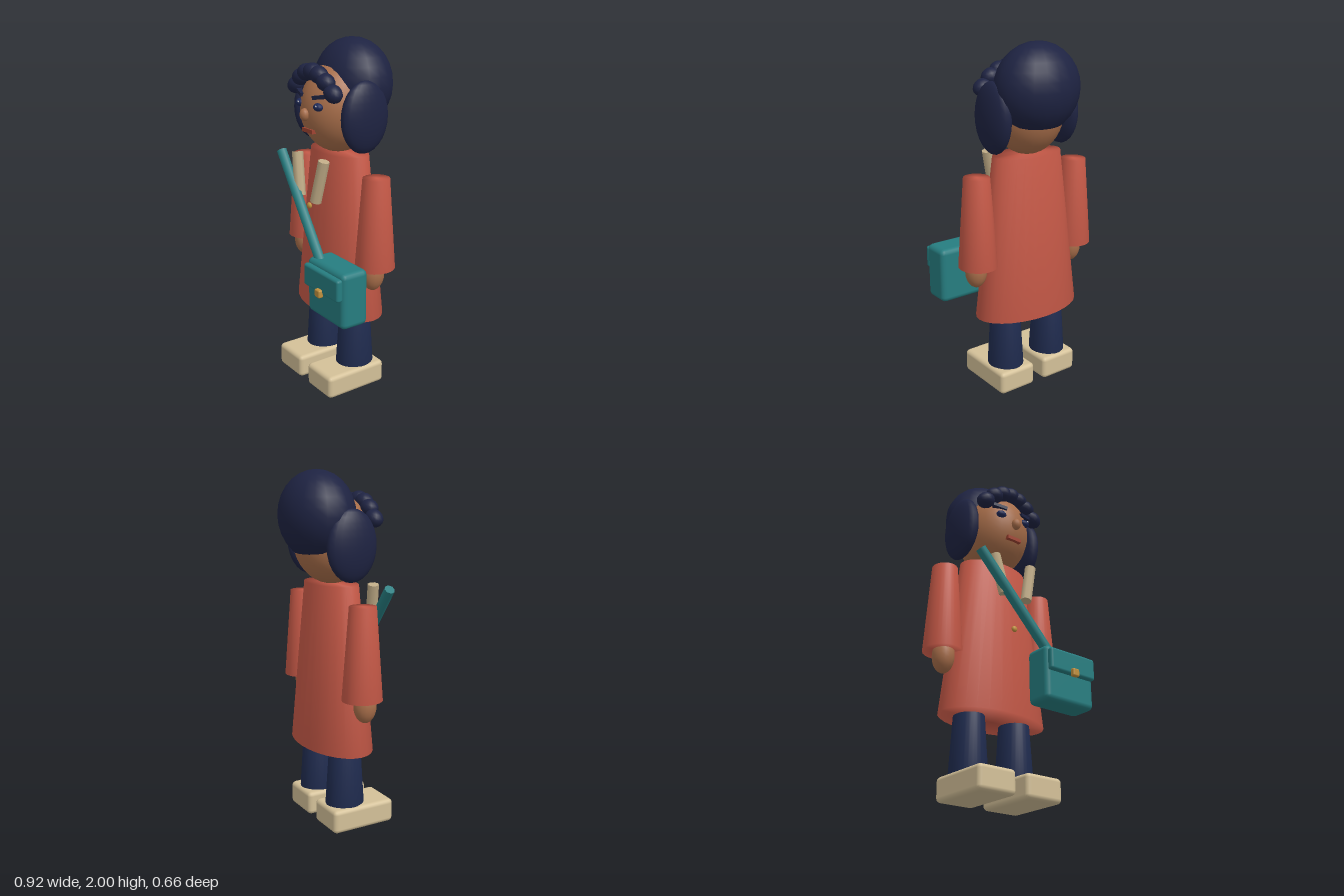
import * as THREE from 'three';
import { mergeVertices } from 'three/addons/utils/BufferGeometryUtils.js';
import { RoundedBoxGeometry } from 'three/addons/geometries/RoundedBoxGeometry.js';

const material = (color) => new THREE.MeshStandardMaterial({ color });
const MATS = {
  coat: material(0xc85a48), hair: material(0x1e2342), trousers: material(0x202c50),
  skin: material(0xa86e4a), cream: material(0xd3c098), lapel: material(0xbfab86),
  teal: material(0x267d80), gold: material(0xc0903e), lips: material(0xa04432),
  eye: material(0x1f2a58), glint: material(0xffffff),
};
const MID = -0.018; // x of the figure's own middle
const DEPTH = -0.04; // z of the body axis

export function createModel() {
  const model = new THREE.Group();
  model.name = 'figure';

  function add(name, geometry, mat, [x, y, z]) {
    const mesh = new THREE.Mesh(geometry, MATS[mat]);
    mesh.name = name;
    mesh.position.set(x, y, z);
    model.add(mesh);
    return mesh;
  }
  const ellipsoid = (name, mat, pos, [rx, ry, rz], w = 20, h = 14) =>
    add(name, new THREE.SphereGeometry(1, w, h).scale(rx, ry, rz), mat, pos);
  const roundedBox = (name, mat, pos, [w, h, d], radius) =>
    add(name, new RoundedBoxGeometry(w, h, d, 2, radius), mat, pos);

  // Closed tapered tube whose shading runs softly over the rims
  function taper(name, mat, x, yTop, yBottom, rTop, rBottom, sx, sz) {
    let g = new THREE.CylinderGeometry(rTop, rBottom, yTop - yBottom, 28);
    g.scale(sx, 1, sz);
    g.deleteAttribute('normal');
    g.deleteAttribute('uv');
    g = mergeVertices(g);
    g.computeVertexNormals();
    return add(name, g, mat, [x, (yTop + yBottom) / 2, DEPTH]);
  }

  // Straight eight-sided bar between two points
  function bar(name, mat, from, to, radius) {
    const a = new THREE.Vector3(...from), b = new THREE.Vector3(...to);
    const dir = b.clone().sub(a);
    const mesh = add(name, new THREE.CylinderGeometry(radius, radius, dir.length(), 8), mat,
      a.clone().add(b).multiplyScalar(0.5).toArray());
    mesh.quaternion.setFromUnitVectors(new THREE.Vector3(0, 1, 0), dir.normalize());
    return mesh;
  }

  // Coat with two buttons
  taper('coat', 'coat', MID, 1.385, 0.46, 0.217, 0.333, 1, 0.575);
  for (const y of [1.095, 0.945]) ellipsoid('button', 'gold', [MID, y, 0.165], [0.018, 0.018, 0.012], 12, 8);

  // Head, hair cap, nose and mouth
  ellipsoid('head', 'skin', [MID, 1.63, -0.035], [0.2, 0.25, 0.22], 28, 20);
  ellipsoid('hairCap', 'hair', [MID, 1.755, -0.13], [0.248, 0.245, 0.203]);
  ellipsoid('nose', 'skin', [MID, 1.61, 0.19], [0.028, 0.035, 0.027], 14, 10);
  add('mouth', new THREE.BoxGeometry(0.095, 0.022, 0.025), 'lips', [MID, 1.52, 0.163]);

  // Rolled fringe arching over the forehead
  for (let k = -3; k <= 3; k++) {
    const lock = ellipsoid('fringeLock', 'hair', [MID + k * 0.058, 1.835 - 0.0105 * k * k, 0.137 - 0.0012 * k * k],
      [0.058, 0.047, 0.049], 14, 10);
    lock.rotation.z = -k * 0.15;
  }

  // Paired parts
  for (const s of [-1, 1]) {
    const side = s > 0 ? 'left' : 'right';
    const at = (dx) => MID + s * dx;
    ellipsoid(side + 'SideHair', 'hair', [at(0.225), 1.605, -0.042], [0.06, 0.196, 0.15]);
    ellipsoid(side + 'Eye', 'eye', [at(0.085), 1.66, 0.16], [0.032, 0.022, 0.024], 14, 10);
    ellipsoid(side + 'EyeGlint', 'glint', [at(0.085) + 0.01, 1.668, 0.181], [0.005, 0.005, 0.004], 8, 6);
    const brow = add(side + 'Brow', new THREE.BoxGeometry(0.085, 0.02, 0.03), 'hair', [at(0.09), 1.713, 0.152]);
    brow.rotation.set(0, s * 0.3, s * 0.17);

    taper(side + 'Sleeve', 'coat', at(0.335), 1.3, 0.79, 0.075, 0.113, 0.96, 1);
    ellipsoid(side + 'Hand', 'skin', [at(0.339), 0.758, -0.024], [0.061, 0.098, 0.065], 16, 12);
    bar(side + 'Lapel', 'lapel', [at(0.13), 1.375, 0.155], [at(0.077), 1.138, 0.175], 0.032);

    taper(side + 'Leg', 'trousers', at(0.153), 0.52, 0.1, 0.088, 0.115, 0.9, 1);
    roundedBox(side + 'Shoe', 'cream', [at(0.152), 0.072, 0.024], [0.236, 0.136, 0.388], 0.025);
  }

  // Shoulder bag with strap, flap and clasp
  bar('bagStrap', 'teal', [-0.268, 1.36, 0.184], [0.18, 0.83, 0.224], 0.03);
  roundedBox('bag', 'teal', [0.286, 0.7, 0.192], [0.342, 0.318, 0.165], 0.03);
  roundedBox('bagFlap', 'teal', [0.286, 0.77, 0.285], [0.32, 0.127, 0.04], 0.015);
  roundedBox('bagClasp', 'gold', [0.286, 0.713, 0.312], [0.046, 0.046, 0.03], 0.009);

  return model;
}
